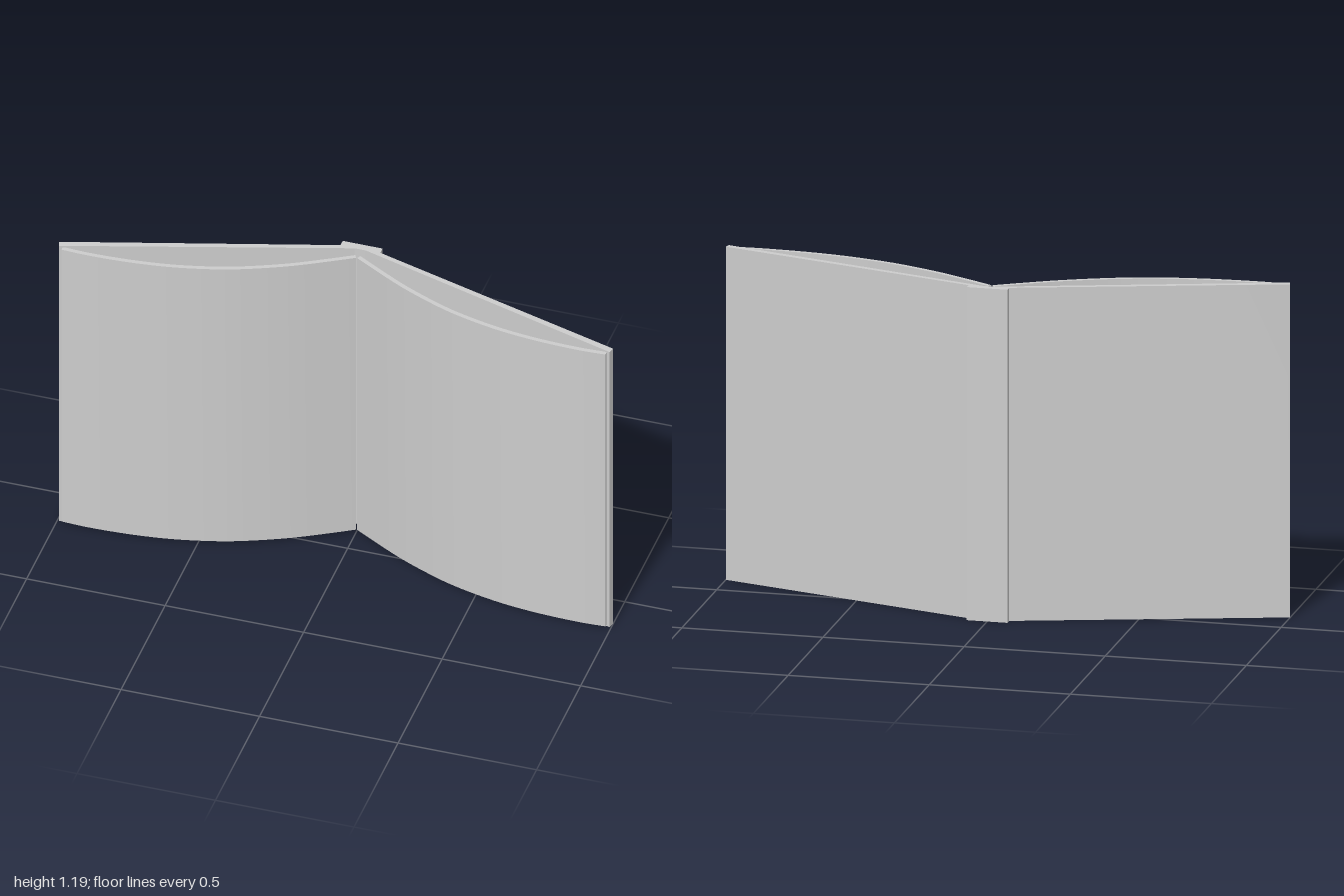
import * as THREE from 'three';
import { toCreasedNormals } from 'three/addons/utils/BufferGeometryUtils.js';

const HEIGHT = 1.19;

// Extrude a plan outline of [x, z] points upward from y = bottom
function upright(outline, height, bottom) {
  const shape = new THREE.Shape(outline.map(([x, z]) => new THREE.Vector2(x, -z)));
  const geo = new THREE.ExtrudeGeometry(shape, { depth: height, bevelEnabled: false });
  geo.rotateX(-Math.PI / 2).translate(0, bottom, 0);
  return toCreasedNormals(geo, 0.5);
}

// Centre line of the curved page block, from gutter to outer edge
const pageCurve = new THREE.CatmullRomCurve3([
  [0.005, -0.108], [0.1, -0.053], [0.2, 0.002], [0.3, 0.048], [0.4, 0.087], [0.5, 0.115],
  [0.6, 0.136], [0.7, 0.149], [0.8, 0.156], [0.9, 0.158], [0.982, 0.154],
].map(([x, z]) => new THREE.Vector3(x, 0, z)));

function pageOutline(side) {
  const half = 0.008, steps = 40, front = [], back = [];
  for (let i = 0; i <= steps; i++) {
    const p = pageCurve.getPoint(i / steps);
    const t = pageCurve.getTangent(i / steps);
    front.push([side * Math.max(0.002, p.x - t.z * half), p.z + t.x * half]);
    back.push([side * (p.x + t.z * half), p.z - t.x * half]);
  }
  return front.concat(back.reverse());
}

export function createModel() {
  const group = new THREE.Group();
  const grey = new THREE.MeshStandardMaterial({ color: 0xcccccc });
  grey.name = 'light grey';

  const add = (name, geometry) => {
    const mesh = new THREE.Mesh(geometry, grey);
    mesh.name = name;
    group.add(mesh);
  };

  // Covers and curved pages, mirrored about the spine
  for (const [label, side] of [['left', 1], ['right', -1]]) {
    const cover = [[0, -0.166], [0.994, 0.129], [1, 0.131], [0.994, 0.153], [0, -0.148]];
    add(label + 'Cover', upright(cover.map(([x, z]) => [side * x, z]), HEIGHT, 0));
    add(label + 'Pages', upright(pageOutline(side), HEIGHT - 0.014, 0.007));
  }

  // Flat spine strip behind the hinge
  add('spine', new THREE.BoxGeometry(0.144, HEIGHT, 0.028).translate(0, HEIGHT / 2, -0.156));

  return group;
}
